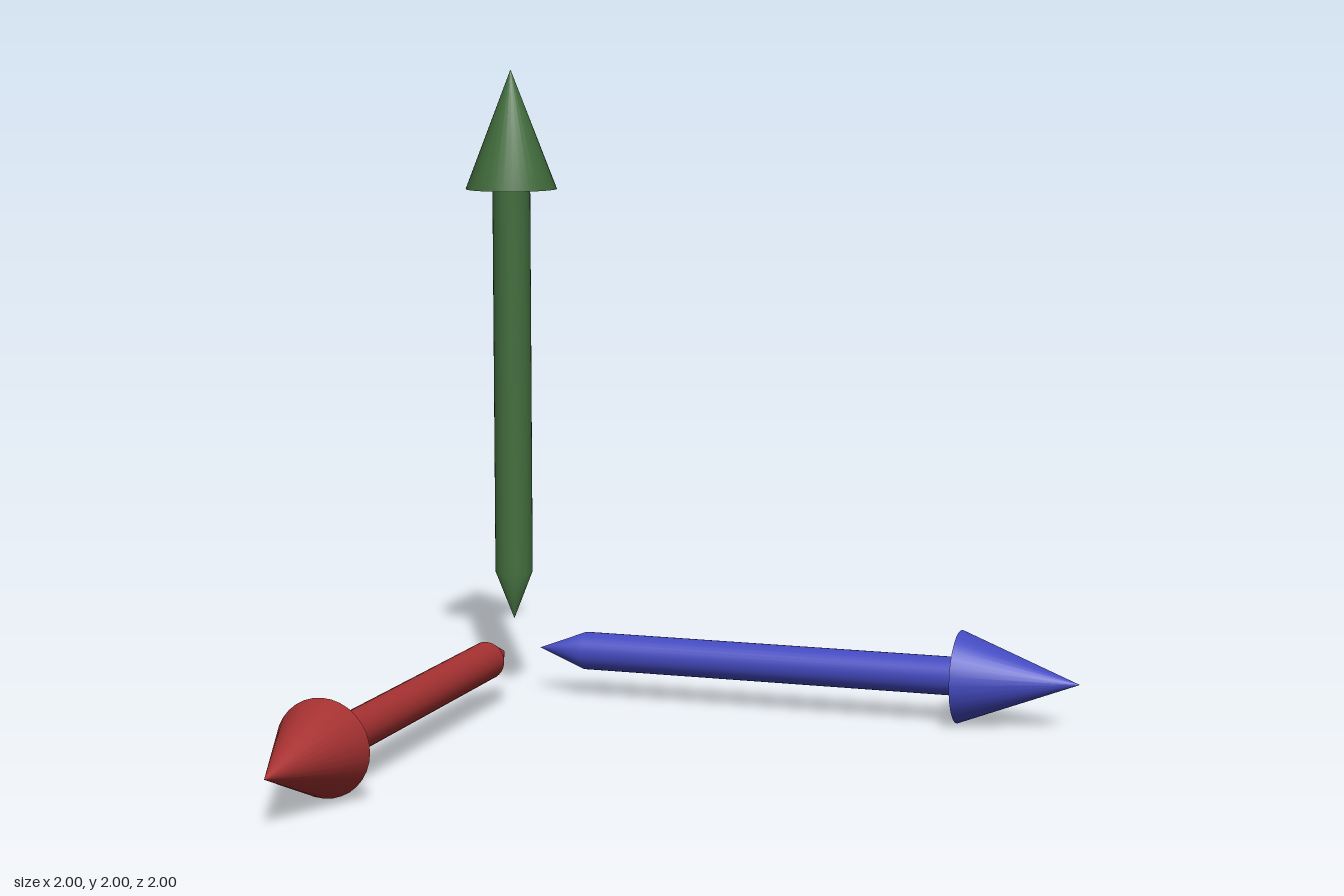
import * as THREE from 'three';

// Half-profile of one arrow along +y, measured from the shared origin:
// pointed tail, straight shaft, wide conical head
const PROFILE = [
  [0, 0.09],
  [0.06, 0.245],
  [0.06, 1.478],
  [0.145, 1.478],
  [0, 1.855],
].map(([r, y]) => new THREE.Vector2(r, y));

export function createModel() {
  const model = new THREE.Group();
  model.name = 'axisArrows';

  const geometry = new THREE.LatheGeometry(PROFILE, 32);

  // name, colour, rotation about x, rotation about z
  const arrows = [
    ['upArrow', 0x44703f, 0, 0],
    ['sideArrow', 0x444ac0, 0, -Math.PI / 2],
    ['frontArrow', 0xa83232, Math.PI / 2, 0],
  ];
  for (const [name, color, rx, rz] of arrows) {
    const arrow = new THREE.Mesh(geometry, new THREE.MeshStandardMaterial({ color }));
    arrow.name = name;
    arrow.rotation.set(rx, 0, rz);
    arrow.position.set(-0.855, 0.145, -0.855);
    model.add(arrow);
  }
  return model;
}
